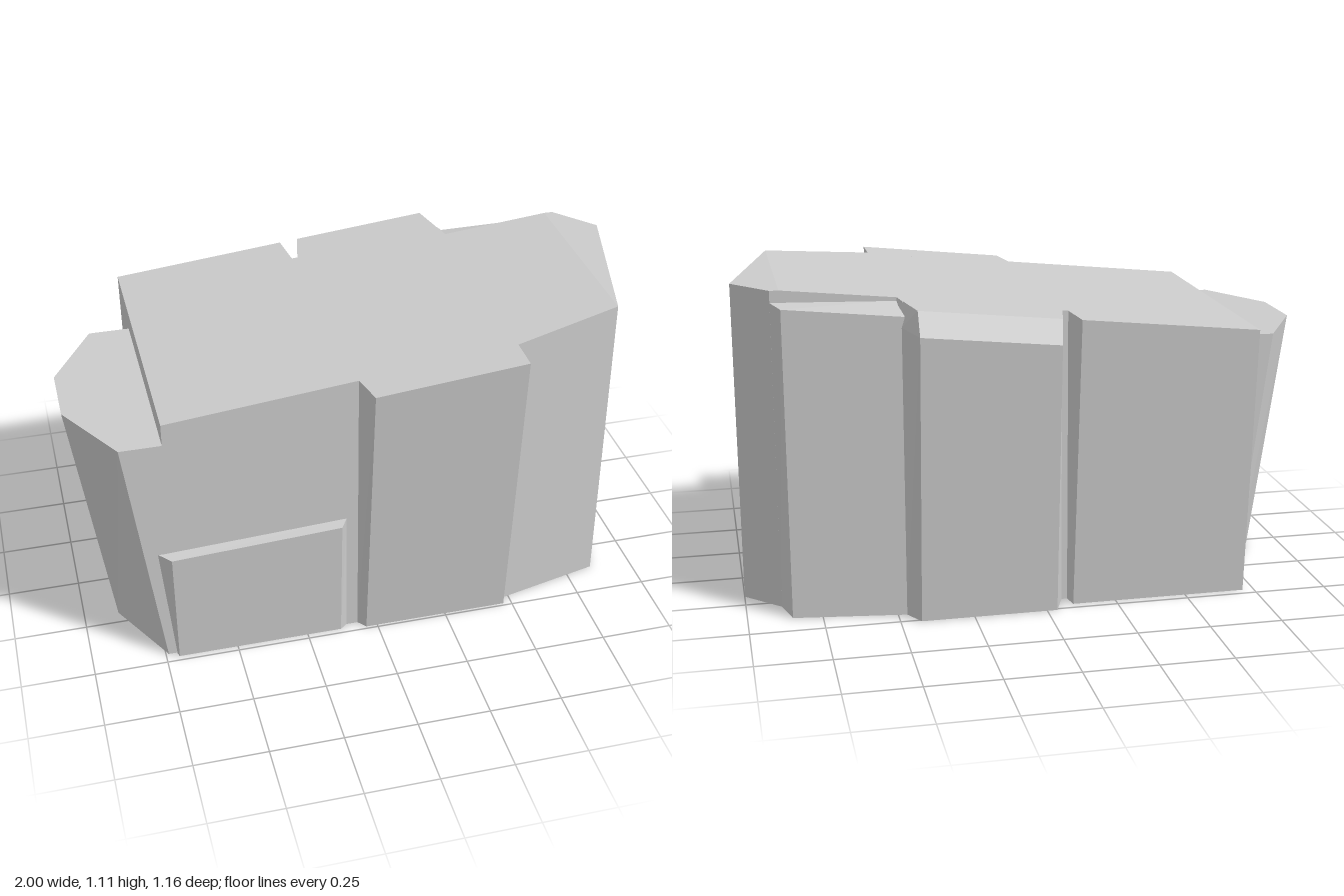
import * as THREE from 'three';

const material = new THREE.MeshStandardMaterial({ color: 0xcccccc, flatShading: true });

// Height of the sloping roof at x, levelling off at the tall end.
const roof = (x) => Math.min(1.11, 0.95 + 0.1026 * (x + 0.71));

// Give every [x, z] point of an outline a height (number or function of x).
const ring = (y, outline) =>
  outline.map(([x, z]) => [x, typeof y === 'function' ? y(x) : y, z]);

// Closed solid through rings of equal point count, bottom ring first.
function loft(name, ...rings) {
  const flat = (r) => r.map(([x, , z]) => new THREE.Vector2(x, -z));
  if (THREE.ShapeUtils.area(flat(rings[0])) < 0) rings = rings.map((r) => [...r].reverse());
  const n = rings[0].length;
  const last = rings.length - 1;
  const index = [];
  for (let k = 0; k < last; k++) {
    for (let i = 0; i < n; i++) {
      const a = k * n + i, b = k * n + ((i + 1) % n);
      index.push(a, b, b + n, a, b + n, a + n);
    }
  }
  for (const [a, b, c] of THREE.ShapeUtils.triangulateShape(flat(rings[0]), [])) index.push(c, b, a);
  for (const [a, b, c] of THREE.ShapeUtils.triangulateShape(flat(rings[last]), [])) {
    index.push(a + last * n, b + last * n, c + last * n);
  }
  const indexed = new THREE.BufferGeometry();
  indexed.setAttribute('position', new THREE.Float32BufferAttribute(rings.flat(2), 3));
  indexed.setIndex(index);
  const geometry = indexed.toNonIndexed();
  geometry.computeVertexNormals();
  const mesh = new THREE.Mesh(geometry, material);
  mesh.name = name;
  return mesh;
}

export function createModel() {
  const model = new THREE.Group();
  model.name = 'building';

  // Main hall with a pointed tall end
  model.add(loft('mainHall',
    ring(0, [[-0.71, 0.46], [0.47, 0.46], [0.85, 0.37], [1, -0.175], [0.88, -0.29],
      [0.85, -0.29], [0.47, -0.34], [0.46, -0.42], [-0.09, -0.42], [-0.71, -0.42]]),
    ring(roof, [[-0.71, 0.46], [0.47, 0.46], [0.85, 0.37], [1, -0.2], [0.88, -0.34],
      [0.85, -0.34], [0.47, -0.34], [0.46, -0.4], [-0.09, -0.4], [-0.71, -0.4]])));

  // Lower faceted end with sloping walls
  model.add(loft('lowEnd',
    ring(0, [[-0.7, 0.46], [-0.74, 0.46], [-0.88, 0.2], [-0.88, -0.03], [-0.74, -0.29], [-0.7, -0.29]]),
    ring(0.873, [[-0.7, 0.46], [-0.85, 0.46], [-1, 0.2], [-1, -0.03], [-0.85, -0.29], [-0.7, -0.29]])));

  // Front bay leaning outward
  model.add(loft('frontBay',
    ring(0, [[-0.065, 0.44], [-0.065, 0.46], [-0.04, 0.49], [0.47, 0.49], [0.47, 0.44]]),
    ring(roof, [[-0.065, 0.44], [-0.065, 0.46], [-0.04, 0.575], [0.47, 0.58], [0.47, 0.44]])));

  // Low panel on the front wall
  model.add(loft('frontPanel',
    ring(0, [[-0.71, 0.44], [-0.71, 0.465], [-0.705, 0.48], [-0.13, 0.48], [-0.105, 0.46], [-0.105, 0.44]]),
    [[-0.75, 0.44, 0.44], [-0.75, 0.44, 0.46], [-0.71, 0.435, 0.5],
      [-0.13, 0.465, 0.5], [-0.105, 0.47, 0.46], [-0.105, 0.47, 0.44]]));

  // Rear block, separated from the rear bay by a narrow notch
  model.add(loft('rearBlock',
    ring(0, [[-0.71, -0.38], [-0.71, -0.47], [-0.1, -0.47], [-0.09, -0.42], [-0.09, -0.38]]),
    ring(roof, [[-0.71, -0.38], [-0.71, -0.535], [-0.105, -0.535], [-0.09, -0.4], [-0.09, -0.38]])));

  // Rear bay with a chamfered top edge
  model.add(loft('rearBay',
    ring(0, [[-0.07, -0.3], [-0.07, -0.42], [-0.035, -0.51], [0.43, -0.51], [0.47, -0.445], [0.47, -0.3]]),
    ring((x) => roof(x) - 0.077,
      [[-0.07, -0.3], [-0.07, -0.4], [-0.03, -0.58], [0.43, -0.58], [0.47, -0.45], [0.47, -0.3]]),
    ring(roof, [[-0.07, -0.3], [-0.07, -0.4], [-0.04, -0.535], [0.43, -0.535], [0.47, -0.34], [0.47, -0.3]])));

  // Rear corner whose sloping shelf sits just below the roof
  model.add(loft('rearCorner',
    ring(0, [[0.46, -0.28], [0.88, -0.29], [0.85, -0.395], [0.46, -0.446]]),
    [[0.46, 1.06, -0.33], [0.88, 1.07, -0.34], [0.85, 1.06, -0.4], [0.46, 1.03, -0.451]]));

  return model;
}
